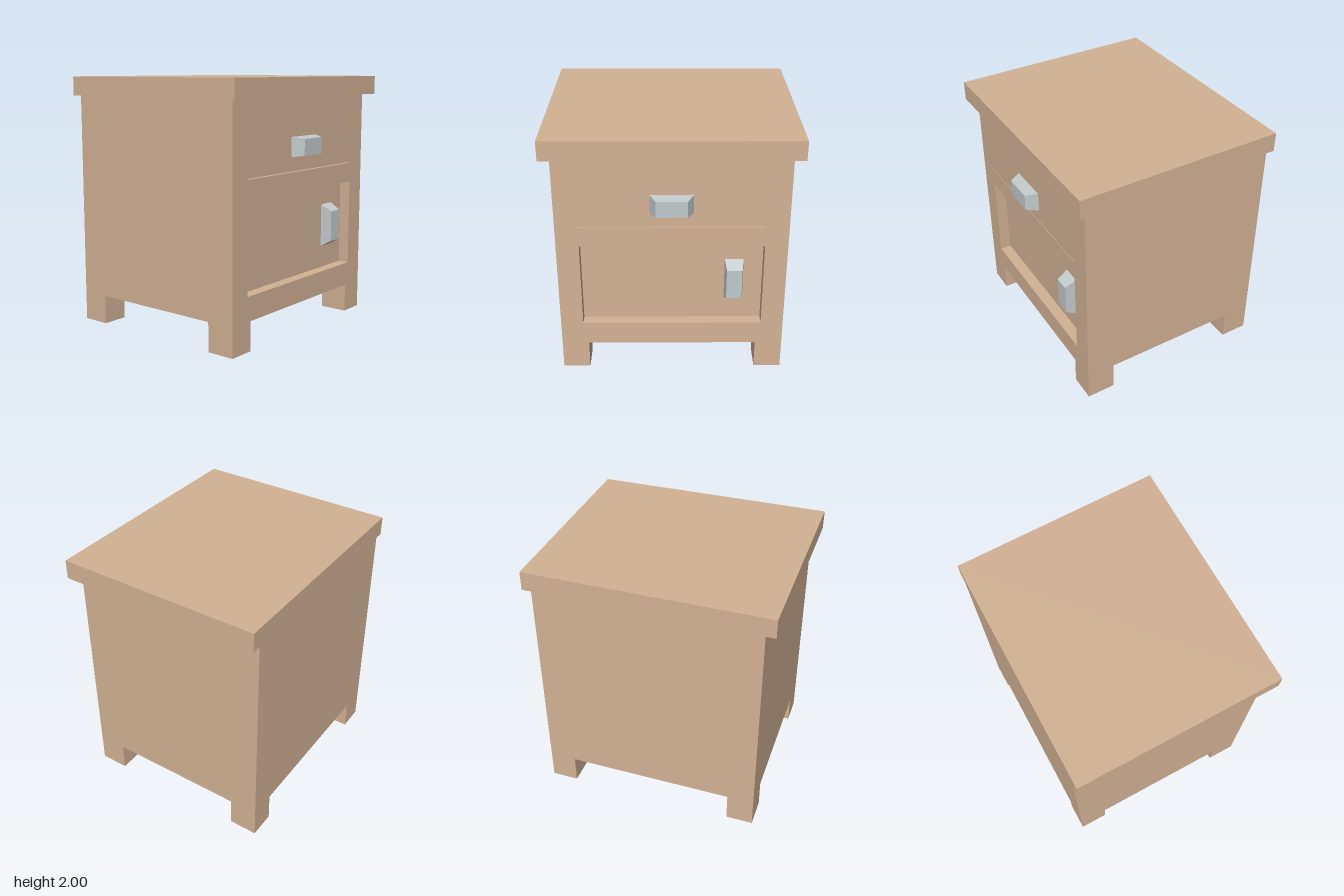
import * as THREE from 'three';

const wood = new THREE.MeshStandardMaterial({ color: 0xd3b295 });
const metal = new THREE.MeshStandardMaterial({ color: 0xc3cbcd });

const BACK = -0.825, FRONT = 0.735, RECESS = 0.645;

// Box given by its lower and upper corners
function box(name, [x0, y0, z0], [x1, y1, z1], material = wood) {
  const geometry = new THREE.BoxGeometry(x1 - x0, y1 - y0, z1 - z0);
  geometry.translate((x0 + x1) / 2, (y0 + y1) / 2, (z0 + z1) / 2);
  const mesh = new THREE.Mesh(geometry, material);
  mesh.name = name;
  return mesh;
}

// Rectangle outline for a shape or a hole
function rect(target, x0, y0, x1, y1) {
  target.moveTo(x0, y0).lineTo(x1, y0).lineTo(x1, y1).lineTo(x0, y1).closePath();
  return target;
}

// Handle block whose front face is narrower than its base
function handle(name, x, y, z, width, height, insetX, insetY) {
  const depth = 0.09;
  const geometry = new THREE.BoxGeometry(width, height, depth);
  const p = geometry.attributes.position;
  for (let i = 0; i < p.count; i++) {
    if (p.getZ(i) < 0) continue;
    p.setX(i, p.getX(i) - Math.sign(p.getX(i)) * insetX);
    p.setY(i, p.getY(i) - Math.sign(p.getY(i)) * insetY);
  }
  geometry.computeVertexNormals();
  const mesh = new THREE.Mesh(geometry, metal);
  mesh.name = name;
  mesh.position.set(x, y, z + depth / 2);
  return mesh;
}

export function createModel() {
  const model = new THREE.Group();
  model.name = 'nightstand';

  // Top board, overhanging at the front and sides
  model.add(box('topBoard', [-0.95, 1.85, BACK], [0.95, 2, 0.81]));

  // Cabinet body behind the front frame
  model.add(box('cabinet', [-0.875, 0.23, BACK], [0.875, 1.85, RECESS]));

  // Front frame with the sunken door and the thin gap under the drawer
  const outline = rect(new THREE.Shape(), -0.875, 0.23, 0.875, 1.85);
  outline.holes.push(
    rect(new THREE.Path(), -0.7, 0.42, 0.7, 1.12),
    rect(new THREE.Path(), -0.7, 1.279, 0.7, 1.286),
  );
  const frame = new THREE.Mesh(
    new THREE.ExtrudeGeometry(outline, { depth: FRONT - RECESS, bevelEnabled: false }), wood);
  frame.name = 'frontFrame';
  frame.position.z = RECESS;
  model.add(frame);

  // Four square legs
  for (const [side, x0, x1] of [['right', -0.875, -0.663], ['left', 0.663, 0.875]]) {
    model.add(box(side + 'FrontLeg', [x0, 0, 0.507], [x1, 0.23, FRONT]));
    model.add(box(side + 'BackLeg', [x0, 0, BACK], [x1, 0.23, -0.597]));
  }

  // Handles
  model.add(handle('drawerHandle', -0.002, 1.473, FRONT, 0.326, 0.154, 0.046, 0.013));
  model.add(handle('doorHandle', 0.48, 0.776, RECESS, 0.146, 0.35, 0.013, 0.05));

  return model;
}
